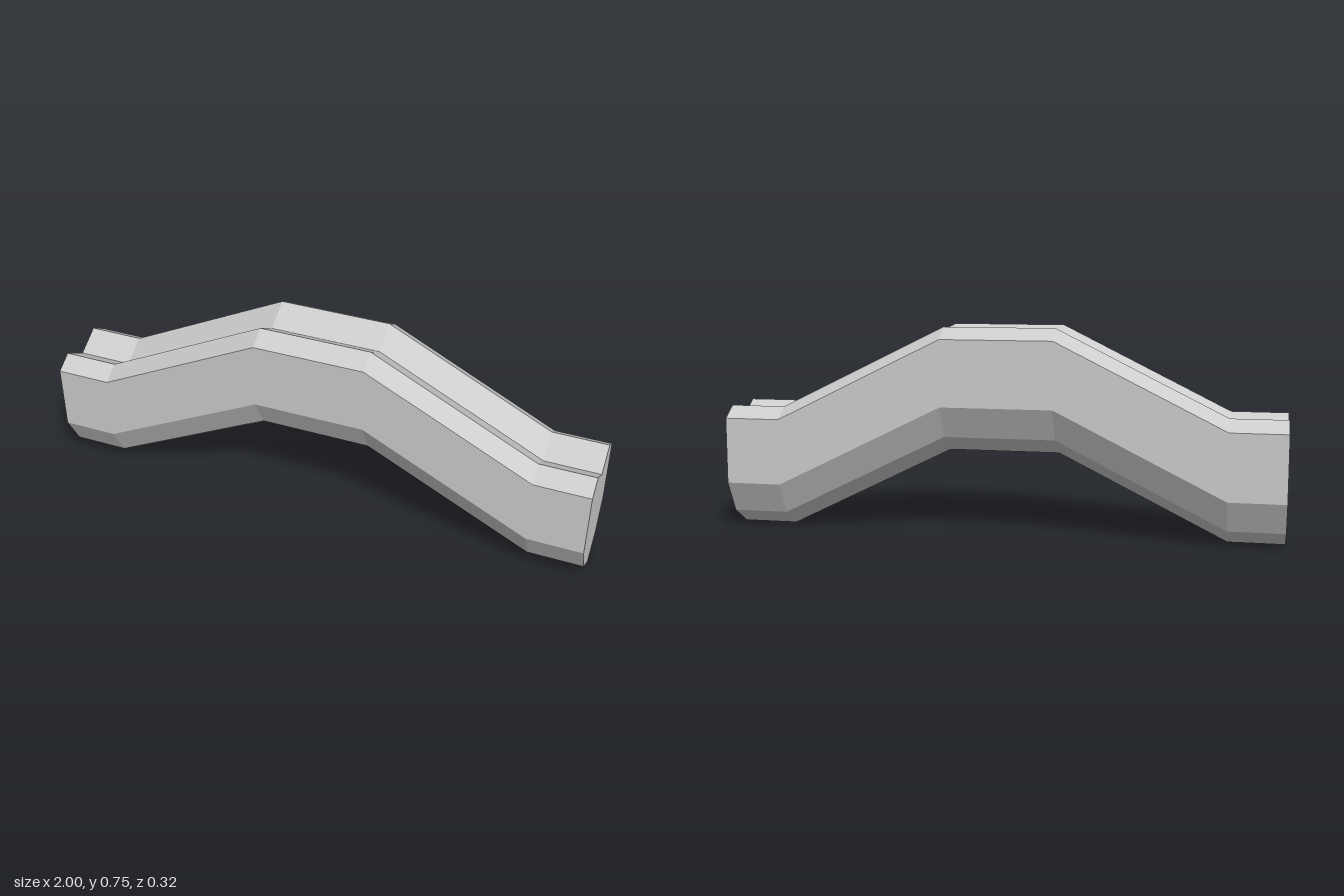
import * as THREE from 'three';

export function createModel() {
  const group = new THREE.Group();
  group.name = 'archedRail';

  // Half cross-section from the keel up to the central groove: [half width, height]
  const half = [[0, 0], [0.098, 0.06], [0.16, 0.174], [0.16, 0.412], [0.095, 0.452], [0, 0.395]];
  const mirrored = half.slice(1, -1).reverse().map(([w, y]) => [-w, y]);
  const section = new THREE.Shape([...half, ...mirrored].map(([w, y]) => new THREE.Vector2(w, y)));

  // Straight bar along x, with steps landing on every bend
  const geometry = new THREE.ExtrudeGeometry(section, { depth: 2, steps: 10, bevelEnabled: false });
  geometry.translate(0, 0, -1).rotateY(Math.PI / 2);

  // Raise the middle: flat ends, sloped shoulders, flat crown
  const pos = geometry.attributes.position;
  for (let i = 0; i < pos.count; i++) {
    const rise = THREE.MathUtils.clamp((0.8 - Math.abs(pos.getX(i))) / 0.6, 0, 1);
    pos.setY(i, pos.getY(i) + 0.298 * rise);
  }
  geometry.computeVertexNormals();

  const material = new THREE.MeshStandardMaterial({ color: 0xcccccc, flatShading: true });
  const rail = new THREE.Mesh(geometry, material);
  rail.name = 'groovedBar';
  group.add(rail);
  return group;
}
